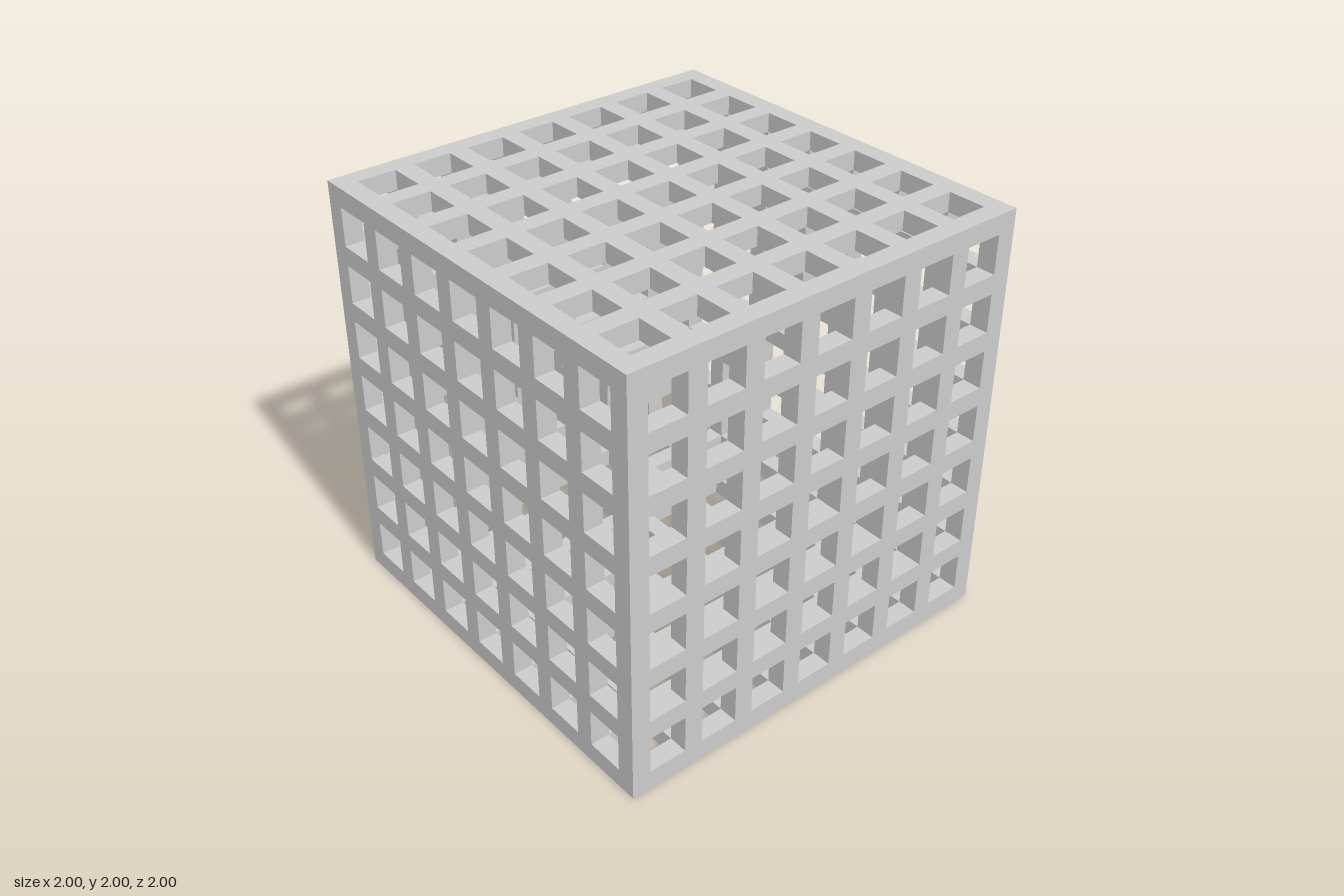
import * as THREE from 'three';

const HOLES = 7;                    // square openings per row
const BAR = 2 / (3 * HOLES + 1);    // bar width and wall thickness
const OPENING = 2 * BAR;
const PITCH = BAR + OPENING;

function square(PathType, x, y, size) {
  return new PathType([
    new THREE.Vector2(x, y),
    new THREE.Vector2(x + size, y),
    new THREE.Vector2(x + size, y + size),
    new THREE.Vector2(x, y + size),
  ]);
}

// One perforated wall, its outer face at z = 1
function wallGeometry() {
  const panel = square(THREE.Shape, -1, -1, 2);
  for (let row = 0; row < HOLES; row++) {
    for (let col = 0; col < HOLES; col++) {
      const x = -1 + BAR + col * PITCH;
      const y = -1 + BAR + row * PITCH;
      panel.holes.push(square(THREE.Path, x, y, OPENING));
    }
  }
  const geometry = new THREE.ExtrudeGeometry(panel, { depth: BAR, bevelEnabled: false });
  return geometry.translate(0, 0, 1 - BAR);
}

export function createModel() {
  const model = new THREE.Group();
  model.name = 'hollowLatticeCube';
  const material = new THREE.MeshStandardMaterial({ color: 0xcccccc });
  const geometry = wallGeometry();

  // The same wall turned to each side of the hollow cube
  const quarter = Math.PI / 2;
  const walls = [
    ['frontWall', 0, 0],
    ['leftWall', 0, quarter],
    ['backWall', 0, 2 * quarter],
    ['rightWall', 0, -quarter],
    ['topWall', -quarter, 0],
    ['bottomWall', quarter, 0],
  ];
  for (const [name, turnX, turnY] of walls) {
    const wall = new THREE.Mesh(geometry, material);
    wall.name = name;
    wall.rotation.set(turnX, turnY, 0);
    wall.position.y = 1;
    model.add(wall);
  }
  return model;
}
